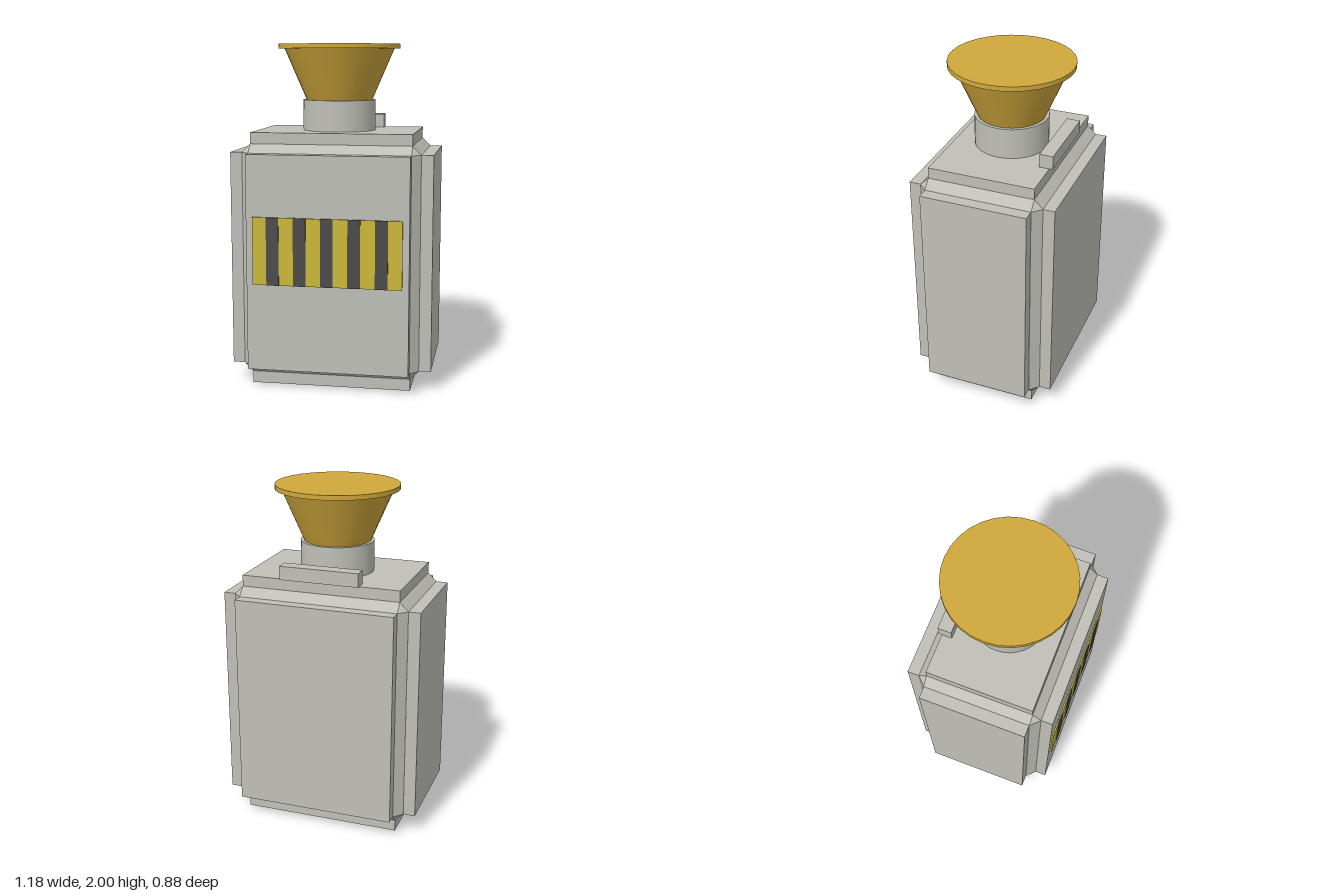
import * as THREE from 'three';
import { ConvexGeometry } from 'three/addons/geometries/ConvexGeometry.js';

const material = (name, color) => {
  const m = new THREE.MeshStandardMaterial({ color });
  m.name = name;
  return m;
};

export function createModel() {
  const grey = material('casing grey', 0xc0c0b8);
  const gold = material('funnel gold', 0xd0a83c);
  const yellow = material('hazard yellow', 0xccb93a);
  const dark = material('hazard dark', 0x4c4c4c);

  const model = new THREE.Group();
  model.name = 'canister';
  const add = (name, geometry, mat, x, y, z) => {
    const mesh = new THREE.Mesh(geometry, mat);
    mesh.name = name;
    mesh.position.set(x, y, z);
    model.add(mesh);
    return mesh;
  };
  const box = (name, mat, w, h, d, x, y, z) =>
    add(name, new THREE.BoxGeometry(w, h, d), mat, x, y, z);

  const midY = 0.75, midZ = -0.008;

  // Core block with chamfered edges
  const half = [0.52, 0.68, 0.364], chamfer = 0.05;
  const corners = [];
  for (const sx of [-1, 1]) for (const sy of [-1, 1]) for (const sz of [-1, 1])
    for (let axis = 0; axis < 3; axis++) {
      const p = half.map((h, i) => (i === axis ? h : h - chamfer));
      corners.push(new THREE.Vector3(sx * p[0], sy * p[1], sz * p[2]));
    }
  add('core', new ConvexGeometry(corners), grey, 0, midY, midZ);

  // Raised slabs on all six faces
  box('frontBackSlab', grey, 0.94, 1.26, 0.864, 0, midY, midZ);
  box('sideSlab', grey, 1.18, 1.26, 0.626, 0, midY, midZ);
  box('topBottomSlab', grey, 0.94, 1.495, 0.626, 0, 0.7475, midZ);

  // Hazard plate with dark stripes
  box('hazardPlate', yellow, 0.864, 0.394, 0.009, 0, 0.825, 0.4285);
  for (let i = -2; i <= 2; i++)
    box('hazardStripe', dark, 0.073, 0.394, 0.009, i * 0.157, 0.825, 0.4325);

  // Carrying bar at the back of the top
  box('handle', grey, 0.47, 0.08, 0.08, 0, 1.535, -0.301);

  // Neck, funnel and lid
  add('neck', new THREE.CylinderGeometry(0.215, 0.215, 0.185, 32), grey, 0, 1.5825, midZ);
  add('funnel', new THREE.CylinderGeometry(0.328, 0.194, 0.31, 32), gold, 0, 1.825, midZ);
  add('lid', new THREE.CylinderGeometry(0.361, 0.361, 0.027, 32), gold, 0, 1.9865, midZ);

  return model;
}
